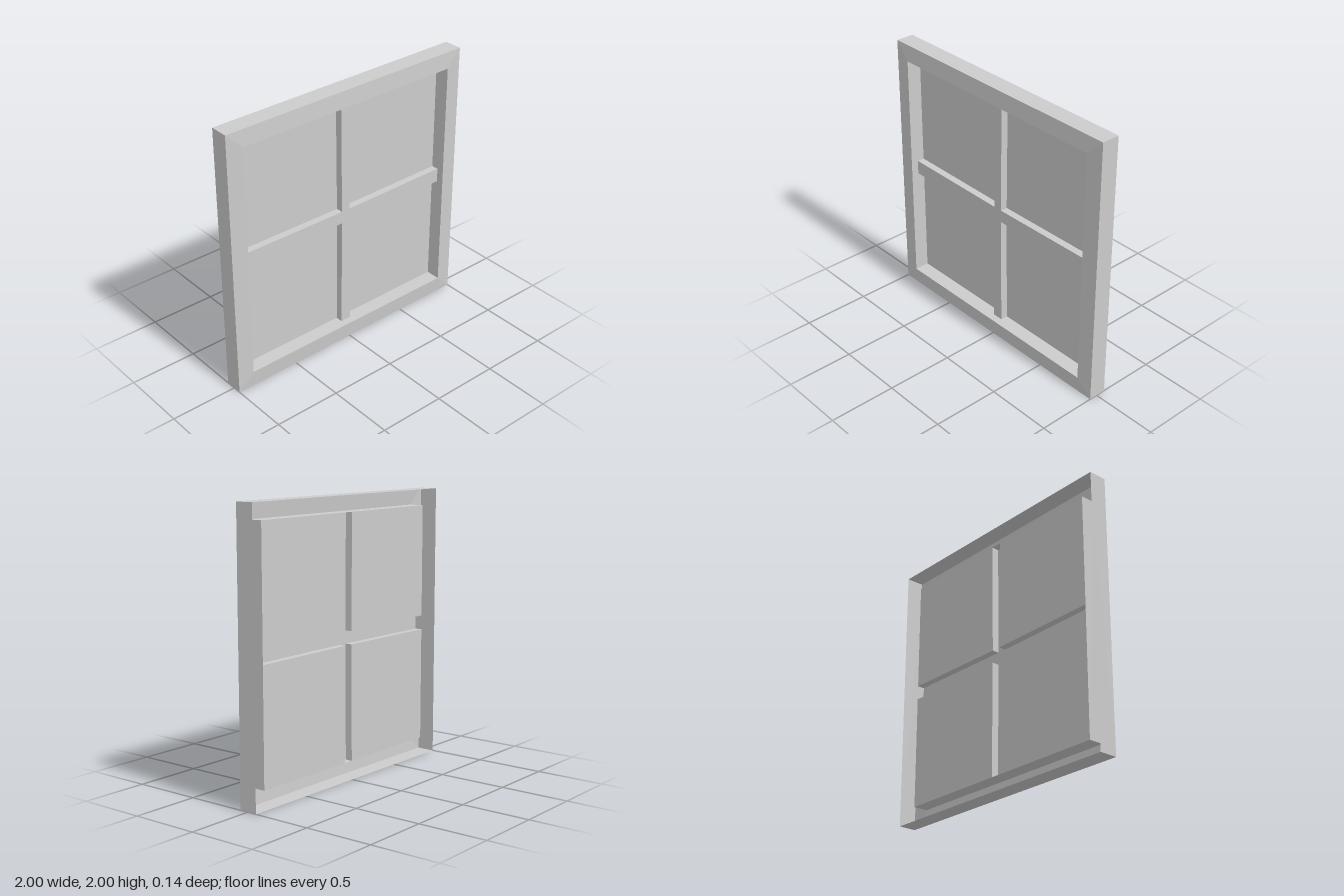
import * as THREE from 'three';

const material = new THREE.MeshStandardMaterial({ color: 0xcccccc, side: THREE.DoubleSide, flatShading: true });

// Depths, from the back rim to the raised inner lip
const BACK = -0.072, PANE = -0.038, BAR = 0.016, RIM = 0.062, LIP = 0.072;
// Opening and glazing bar edges
const IN = 0.88, BOTTOM = 0.122, TOP = 1.88;

// Sheet joining successive rows of [x, y, z] points
function loft(rows, closed) {
  const n = rows[0].length, index = [];
  for (let r = 0; r < rows.length - 1; r++) {
    for (let i = 0; i < (closed ? n : n - 1); i++) {
      const j = (i + 1) % n, a = r * n + i, b = r * n + j;
      index.push(a, b, b + n, a, b + n, a + n);
    }
  }
  const g = new THREE.BufferGeometry();
  g.setAttribute('position', new THREE.Float32BufferAttribute(rows.flat(2), 3));
  g.setIndex(index);
  const flat = g.toNonIndexed();
  flat.computeVertexNormals();
  return flat;
}

const rect = (x, y0, y1, z) => [[-x, y0, z], [x, y0, z], [x, y1, z], [-x, y1, z]];

// Flat sheet facing +z
function sheet(points, z) {
  const shape = new THREE.Shape(points.map(([x, y]) => new THREE.Vector2(x, y)));
  return new THREE.ShapeGeometry(shape).translate(0, 0, z);
}

function add(group, name, geometry) {
  const mesh = new THREE.Mesh(geometry, material);
  mesh.name = name;
  group.add(mesh);
}

export function createModel() {
  const model = new THREE.Group();
  model.name = 'window';

  // Hollow frame: outer side, sloping face, inner reveal
  add(model, 'frame', loft([
    rect(1, 0, 2, BACK),
    rect(1, 0, 2, RIM),
    rect(IN, BOTTOM, TOP, LIP),
    rect(IN, BOTTOM, TOP, PANE),
  ], true));

  // Four panes, each with the bar sides that step forward from it
  const outline = [];
  for (const [sx, sy] of [[1, 1], [-1, 1], [-1, -1], [1, -1]]) {
    const yOuter = sy > 0 ? TOP : BOTTOM;
    const path = [
      [sx * IN, sy > 0 ? 1.06 : 0.955],
      [sx * 0.034, sy > 0 ? 1.053 : 0.96],
      [sx * 0.04, yOuter],
    ];
    const label = (sy > 0 ? 'upper' : 'lower') + (sx > 0 ? 'Left' : 'Right');
    add(model, label + 'Pane', sheet([...path, [sx * IN, yOuter]], PANE));
    add(model, label + 'BarSides', loft([PANE, BAR].map(z => path.map(([x, y]) => [x, y, z])), false));
    outline.push(...(sx * sy > 0 ? path : path.slice().reverse()));
  }

  // Cross-shaped front of the glazing bars, hollow behind
  add(model, 'glazingBars', sheet(outline, BAR));

  return model;
}
